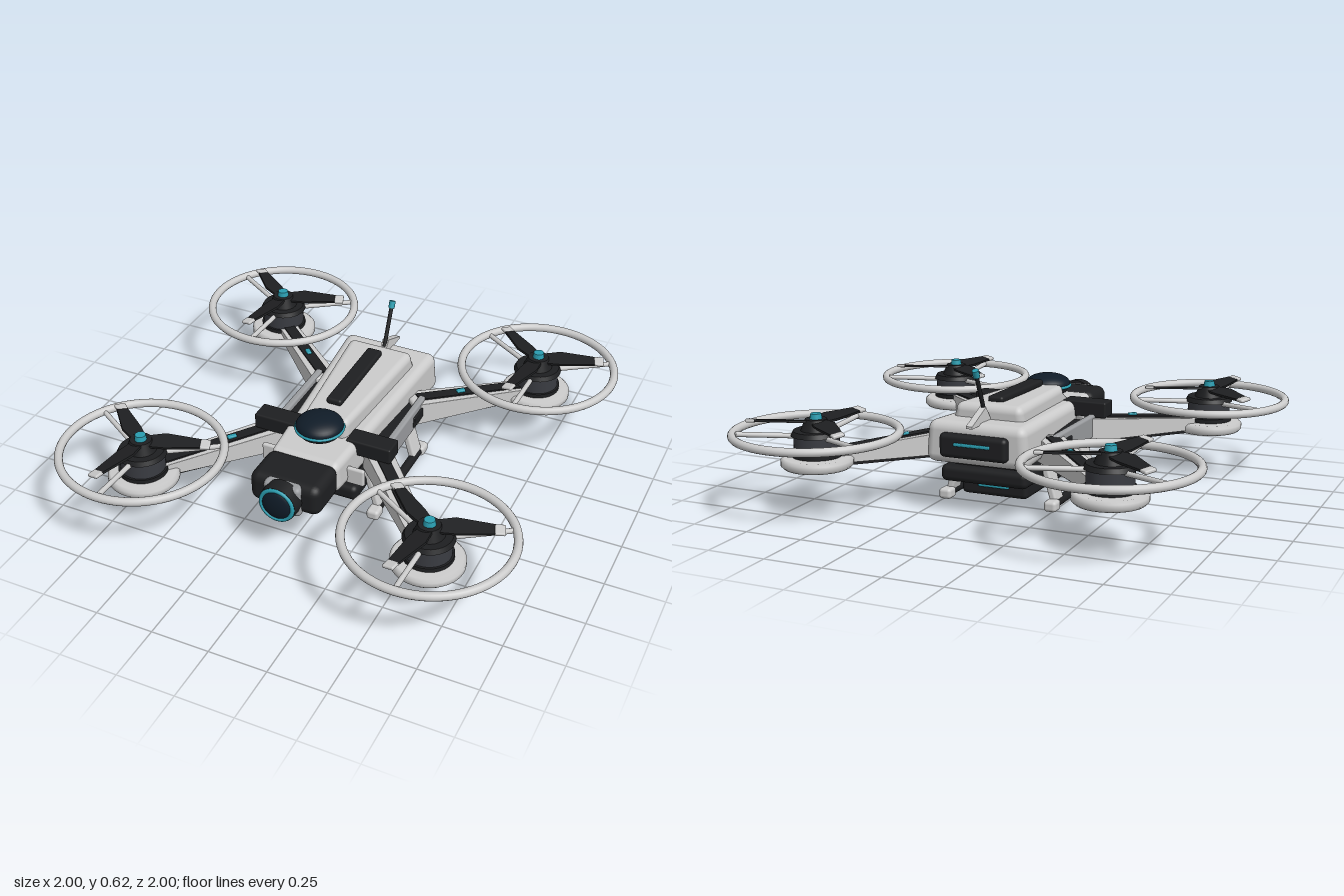
import * as THREE from 'three';
import { RoundedBoxGeometry } from 'three/addons/geometries/RoundedBoxGeometry.js';

const mat = (color) => new THREE.MeshStandardMaterial({ color });
const light = mat(0xcccccc), grey = mat(0x9a9c9f), dark = mat(0x1e1f21);
const motorGrey = mat(0x3a3c42), teal = mat(0x2a9db0), glass = mat(0x101c28);

function add(parent, name, geometry, material, x = 0, y = 0, z = 0) {
  const mesh = new THREE.Mesh(geometry, material);
  mesh.name = name;
  mesh.position.set(x, y, z);
  parent.add(mesh);
  return mesh;
}
const rbox = (w, h, d, r = 0.015) => new RoundedBoxGeometry(w, h, d, 3, r);
const disc = (rTop, rBottom, h) => new THREE.CylinderGeometry(rTop, rBottom, h, 40);

// Moves every vertex by a rule
function bend(geometry, rule) {
  const p = geometry.attributes.position, v = new THREE.Vector3();
  for (let i = 0; i < p.count; i++) {
    rule(v.fromBufferAttribute(p, i));
    p.setXYZ(i, v.x, v.y, v.z);
  }
  return geometry;
}

// Round bar between two points
function bar(parent, name, a, b, radius, material) {
  const from = new THREE.Vector3(...a), to = new THREE.Vector3(...b);
  const dir = to.clone().sub(from);
  const mesh = add(parent, name, new THREE.CylinderGeometry(radius, radius, dir.length(), 14), material);
  mesh.position.copy(from).add(to).multiplyScalar(0.5);
  mesh.quaternion.setFromUnitVectors(new THREE.Vector3(0, 1, 0), dir.normalize());
  return mesh;
}

function bladeGeometry() {
  const s = new THREE.Shape();
  s.moveTo(0.02, -0.03);
  s.lineTo(0.1, -0.048);
  s.lineTo(0.255, -0.024);
  s.lineTo(0.255, 0.022);
  s.lineTo(0.1, 0.034);
  s.lineTo(0.02, 0.03);
  s.closePath();
  return new THREE.ExtrudeGeometry(s, { depth: 0.01, bevelEnabled: false })
    .translate(0, 0, -0.005).rotateX(Math.PI / 2);
}

function createRotor(x, z) {
  const g = new THREE.Group();
  g.name = 'rotor';
  g.position.set(x, 0, z);
  // Motor stack
  add(g, 'motorMount', rboxDisc(0.15, 0.045), light, 0, 0.213, 0);
  add(g, 'motorBase', disc(0.103, 0.103, 0.018), dark, 0, 0.247, 0);
  add(g, 'motor', disc(0.094, 0.094, 0.075), motorGrey, 0, 0.29, 0);
  add(g, 'motorCap', disc(0.095, 0.105, 0.02), dark, 0, 0.335, 0);
  add(g, 'hub', disc(0.045, 0.065, 0.05), dark, 0, 0.367, 0);
  add(g, 'hubCap', disc(0.022, 0.026, 0.025), teal, 0, 0.402, 0);
  // Guard ring and its spokes
  add(g, 'guardRing', new THREE.TorusGeometry(0.34, 0.018, 14, 72).rotateX(Math.PI / 2), light, 0, 0.335, 0);
  for (let i = 0; i < 3; i++) {
    const a = Math.PI / 2 + i * Math.PI * 2 / 3, c = Math.cos(a), s = Math.sin(a);
    bar(g, 'guardSpoke', [c * 0.09, 0.322, s * 0.09], [c * 0.34, 0.335, s * 0.34], 0.011, light);
    // Pitched blade with a pale tip
    const blade = new THREE.Group();
    blade.name = 'blade';
    blade.position.y = 0.38;
    blade.rotation.y = -(a + Math.PI / 18);
    const pitch = new THREE.Group();
    pitch.rotation.x = 0.18;
    blade.add(pitch);
    add(pitch, 'bladeBody', bladeGeometry(), dark);
    add(pitch, 'bladeTip', rbox(0.042, 0.015, 0.05, 0.006), light, 0.268, 0, 0);
    g.add(blade);
  }
  return g;
}

// Disc with softened rims
function rboxDisc(r, h) {
  const b = 0.012, k = h / 2;
  const pts = [[0, -k], [r - b, -k], [r, b - k], [r, k - b], [r - b, k], [0, k]];
  return new THREE.LatheGeometry(pts.map(([x, y]) => new THREE.Vector2(x, y)), 40);
}

function createArm(x0, z0, x1, z1) {
  const g = new THREE.Group();
  g.name = 'arm';
  g.position.set(x0, 0, z0);
  const dx = x1 - x0, dz = z1 - z0, len = Math.hypot(dx, dz);
  g.rotation.y = Math.atan2(dx, dz);
  const top = (z) => 0.31 - 0.06 * z / len;
  // Deep at the body, slim at the motor
  add(g, 'armBeam', bend(rbox(1, 1, len, 0.02).translate(0, 0, len / 2), (v) => {
    v.x *= 0.115 - 0.035 * v.z / len;
    v.y = 0.205 + (v.y + 0.5) * (top(v.z) - 0.205);
  }), light);
  add(g, 'armTopStrip', bend(new THREE.BoxGeometry(0.05, 0.014, len * 0.8).translate(0, 0, len * 0.47),
    (v) => { v.y += top(v.z); }), dark);
  add(g, 'armUnderStrip', new THREE.BoxGeometry(0.055, 0.02, len * 0.95), dark, 0, 0.2, len / 2);
  add(g, 'armLight', rbox(0.022, 0.014, 0.04, 0.005), teal, 0, top(len * 0.4) + 0.01, len * 0.4);
  return g;
}

function createBody() {
  const g = new THREE.Group();
  g.name = 'body';
  // Lower shell, narrowing and dropping toward the nose
  add(g, 'lowerShell', bend(rbox(0.46, 0.18, 0.92, 0.04), (v) => {
    const t = (v.z + 0.46) / 0.92;
    v.x *= (1 - 0.32 * t) * (v.y > 0 ? 0.96 : 1);
    if (v.y > 0) v.y -= 0.035 * t;
  }), light, 0, 0.305, -0.02);
  // Upper shell with drawn-in top
  add(g, 'upperShell', bend(rbox(0.34, 0.12, 0.62, 0.035), (v) => {
    const t = (v.z + 0.31) / 0.62;
    v.x *= (1 - 0.36 * t) * (v.y > 0 ? 0.9 : 1);
    if (v.y > 0) { v.y -= 0.02 * t; if (v.z > 0.2) v.z -= 0.03; }
  }), light, 0, 0.39, -0.05);
  const strip = add(g, 'spineStrip', rbox(0.07, 0.03, 0.43, 0.012), dark, 0, 0.452, -0.07);
  strip.rotation.x = 0.012;
  add(g, 'bellyPlate', rbox(0.3, 0.05, 0.66, 0.015), dark, 0, 0.205, -0.04);
  // Rear panel
  add(g, 'rearPanel', rbox(0.3, 0.1, 0.05, 0.02), dark, 0, 0.3, -0.485);
  add(g, 'rearLight', rbox(0.16, 0.014, 0.012, 0.005), teal, 0, 0.31, -0.511);
  // Batteries
  add(g, 'upperBattery', rbox(0.39, 0.07, 0.75, 0.025), dark, 0, 0.155, -0.035);
  add(g, 'lowerBattery', rbox(0.3, 0.09, 0.52, 0.02), dark, 0, 0.09, -0.04);
  add(g, 'batteryLight', rbox(0.14, 0.016, 0.014, 0.005), teal, 0, 0.092, -0.302);
  return g;
}

function createHead() {
  const g = new THREE.Group();
  g.name = 'head';
  // Dome sensor
  add(g, 'domeBase', disc(0.095, 0.085, 0.03), dark, 0, 0.4, 0.275);
  add(g, 'dome', new THREE.SphereGeometry(0.1, 40, 20).scale(1, 0.46, 1), glass, 0, 0.42, 0.275);
  add(g, 'domeRing', new THREE.TorusGeometry(0.099, 0.007, 10, 48).rotateX(Math.PI / 2), teal, 0, 0.412, 0.275);
  // Nose and camera
  add(g, 'nose', rbox(0.315, 0.14, 0.2, 0.04), dark, 0, 0.29, 0.515);
  add(g, 'cameraBracket', rbox(0.165, 0.14, 0.07, 0.02), grey, 0, 0.285, 0.6);
  add(g, 'lensBarrel', disc(0.08, 0.085, 0.06).rotateX(Math.PI / 2), dark, 0, 0.285, 0.64);
  add(g, 'lensRing', new THREE.TorusGeometry(0.07, 0.009, 10, 48), teal, 0, 0.285, 0.67);
  add(g, 'lens', new THREE.SphereGeometry(0.066, 32, 16).scale(1, 1, 0.32), glass, 0, 0.285, 0.668);
  return g;
}

function createAntenna() {
  const g = new THREE.Group();
  g.name = 'antenna';
  const s = new THREE.Shape();
  s.moveTo(0.35, 0.385);
  s.lineTo(0.53, 0.385);
  s.lineTo(0.53, 0.395);
  s.lineTo(0.4, 0.45);
  s.closePath();
  add(g, 'antennaFin', new THREE.ExtrudeGeometry(s, { depth: 0.028, bevelEnabled: false })
    .translate(0, 0, -0.014).rotateY(Math.PI / 2), light);
  bar(g, 'antennaRod', [0, 0.42, -0.385], [0, 0.59, -0.46], 0.009, dark);
  bar(g, 'antennaTip', [0, 0.582, -0.457], [0, 0.612, -0.47], 0.014, teal);
  return g;
}

function createSide(s) {
  const g = new THREE.Group();
  g.name = s > 0 ? 'leftSide' : 'rightSide';
  // Flank plate, vent and sensor wing
  add(g, 'flankPlate', rbox(0.03, 0.1, 0.44, 0.01), grey, s * 0.25, 0.27, -0.02);
  add(g, 'flankSpacer', rbox(0.08, 0.06, 0.38, 0.01), dark, s * 0.205, 0.265, -0.02);
  add(g, 'flankVent', rbox(0.014, 0.05, 0.11, 0.005), dark, s * 0.265, 0.265, -0.155);
  add(g, 'sensorWing', rbox(0.2, 0.07, 0.09, 0.008), dark, s * 0.213, 0.34, 0.22);
  add(g, 'frontBracket', rbox(0.11, 0.08, 0.022, 0.01), light, s * 0.18, 0.262, 0.34);
  // Landing gear
  for (const z of [0.19, -0.195]) {
    const leg = add(g, 'leg', rbox(0.03, 0.18, 0.085, 0.01), light, s * 0.217, 0.115, z);
    leg.rotation.z = s * 0.28;
  }
  bar(g, 'skid', [s * 0.242, 0.024, -0.25], [s * 0.242, 0.024, 0.25], 0.02, dark);
  for (const z of [0.25, -0.25]) add(g, 'skidFoot', rbox(0.056, 0.046, 0.065, 0.015), light, s * 0.242, 0.023, z);
  return g;
}

export function createModel() {
  const model = new THREE.Group();
  model.name = 'quadcopter';
  model.add(createBody(), createHead(), createAntenna());
  for (const s of [1, -1]) {
    model.add(createSide(s));
    model.add(createArm(s * 0.2, 0.16, s * 0.64, 0.64), createArm(s * 0.2, -0.2, s * 0.64, -0.64));
    for (const z of [0.64, -0.64]) model.add(createRotor(s * 0.64, z));
  }
  return model;
}
